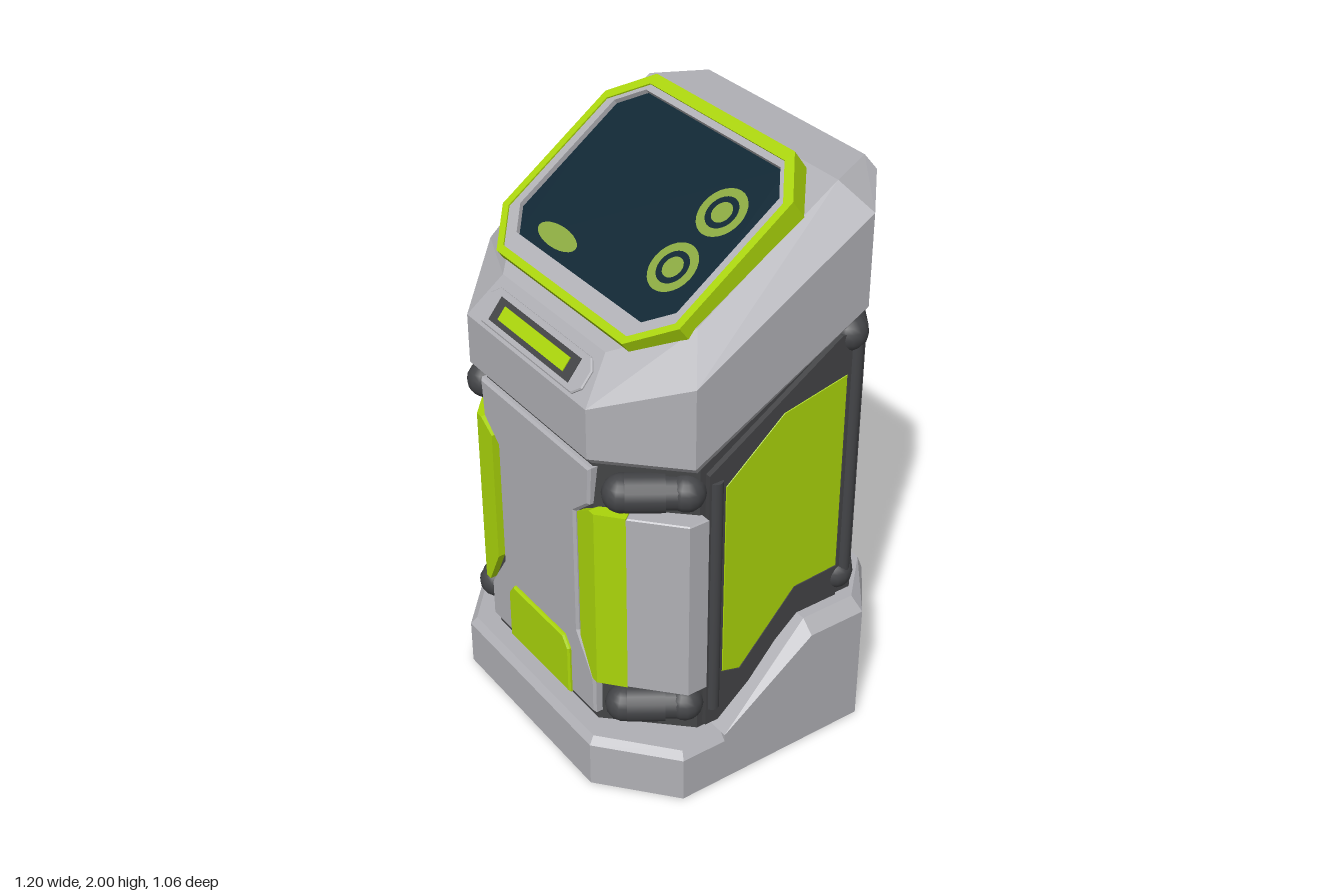
import * as THREE from 'three';

const mat = (name, color, flat = true) => {
  const m = new THREE.MeshStandardMaterial({ color, flatShading: flat });
  m.name = name;
  return m;
};

export function createModel() {
  const grey = mat('shellGrey', 0xb0b0b5);
  const green = mat('limeGreen', 0xaad40a);
  const dark = mat('frameDark', 0x434446);
  const joint = mat('jointDark', 0x444548, false);
  const glass = mat('screenGlass', 0x0e2633);
  const olive = mat('displayOlive', 0x8aa840);

  const root = new THREE.Group();
  const add = (name, geo, material, parent = root) => {
    const mesh = new THREE.Mesh(geo, material);
    mesh.name = name;
    parent.add(mesh);
    return mesh;
  };

  // Closed loft: each ring is a front-to-back list of stations [xLeft, xRight, y, z]
  const loft = (rings) => {
    const pos = [];
    const quad = (a, b, c, d) => pos.push(...a, ...b, ...c, ...a, ...c, ...d);
    const R = rings.map((r) => r.map(([, x, y, z]) => [x, y, z]));
    const L = rings.map((r) => r.map(([x, , y, z]) => [x, y, z]));
    const loops = R.map((r, i) => [...r, ...[...L[i]].reverse()]);
    for (let k = 0; k < loops.length - 1; k++) {
      const a = loops[k], b = loops[k + 1];
      a.forEach((p, i) => {
        const j = (i + 1) % a.length;
        quad(p, a[j], b[j], b[i]);
      });
    }
    const t = rings.length - 1;
    for (let i = 0; i < R[0].length - 1; i++) {
      quad(R[t][i], R[t][i + 1], L[t][i + 1], L[t][i]);
      quad(L[0][i], L[0][i + 1], R[0][i + 1], R[0][i]);
    }
    const g = new THREE.BufferGeometry();
    g.setAttribute('position', new THREE.Float32BufferAttribute(pos, 3));
    g.computeVertexNormals();
    return g;
  };
  const sym = (pts) => pts.map(([x, y, z]) => [-x, x, y, z]);

  const shapeOf = (pts) => new THREE.Shape(pts.map(([x, y]) => new THREE.Vector2(x, y)));
  const extrude = (shape, depth, bevel = 0) => {
    const g = new THREE.ExtrudeGeometry(shape, {
      depth: depth - 2 * bevel, bevelEnabled: bevel > 0, bevelSize: bevel,
      bevelThickness: bevel, bevelOffset: -bevel, bevelSegments: 1,
    });
    return g.translate(0, 0, bevel);
  };
  // Vertical prism from plan points [x, z]
  const prism = (pts, s, y0, y1, bevel = 0.012) =>
    extrude(shapeOf(pts.map(([x, z]) => [s * x, -z])), y1 - y0, bevel).rotateX(-Math.PI / 2).translate(0, y0, 0);
  // Plate on a side wall from points [z, y], spanning x0..x1
  const sidePlate = (shape, s, x0, x1, bevel = 0) =>
    extrude(shape, x1 - x0, bevel).rotateY(Math.PI / 2).translate(s > 0 ? x0 : -x1, 0, 0);
  const zy = (pts) => pts.map(([z, y]) => [-z, y]);
  // Symmetric octagon with separate top and bottom edges
  const oct = (x, lo, hi, c) => [[x, lo + c], [x, hi - c], [x - c, hi], [c - x, hi], [-x, hi - c], [-x, lo + c], [c - x, lo], [x - c, lo]];

  // Rod between two points
  const rod = (name, a, b, r, material) => {
    const va = new THREE.Vector3(...a), vb = new THREE.Vector3(...b);
    const m = add(name, new THREE.CylinderGeometry(r, r, va.distanceTo(vb), 14), material);
    m.position.copy(va).add(vb).multiplyScalar(0.5);
    m.quaternion.setFromUnitVectors(new THREE.Vector3(0, 1, 0), vb.sub(va).normalize());
  };
  const knuckle = (a, b) => {
    rod('jointBar', a, b, 0.053, joint);
    const at = (t) => a.map((v, i) => v + (b[i] - v) * t);
    rod('jointCollar', at(0.05), at(0.68), 0.061, joint);
    for (const p of [a, b]) add('jointBall', new THREE.SphereGeometry(0.06, 14, 10), joint).position.set(...p);
  };

  // Base slab
  const slab = (y, k) => sym([[0.37 - k / 2, y, 0.53 - k], [0.6 - k, y, 0.33 - k / 2], [0.6 - k, y, -0.38 + k / 2], [0.42 - k / 2, y, -0.53 + k]]);
  add('baseSlab', loft([slab(0, 0), slab(0.16, 0), slab(0.185, 0.02)]), grey);

  // Dark inner body
  add('body', loft([
    sym([[0.3, 0.1, 0.45], [0.52, 0.1, 0.22], [0.52, 0.1, -0.33], [0.36, 0.1, -0.43]]),
    sym([[0.3, 1.22, 0.45], [0.52, 1.22, 0.22], [0.52, 1.55, -0.33], [0.36, 1.55, -0.43]]),
  ]), dark);

  // Head shell with sloped underside and sloped top
  add('headShell', loft([
    sym([[0.31, 1.185, 0.46], [0.53, 1.185, 0.24], [0.53, 1.515, -0.34], [0.4, 1.515, -0.45]]),
    sym([[0.33, 1.22, 0.49], [0.557, 1.22, 0.265], [0.557, 1.555, -0.355], [0.42, 1.555, -0.475]]),
    sym([[0.33, 1.39, 0.49], [0.557, 1.49, 0.265], [0.557, 1.86, -0.355], [0.42, 1.91, -0.475]]),
    sym([[0.28, 1.52, 0.385], [0.475, 1.632, 0.205], [0.465, 1.945, -0.29], [0.38, 1.945, -0.46]]),
  ]), grey);

  // Slot on the head's front bevel
  const slot = new THREE.Group();
  slot.name = 'slot';
  slot.position.set(0, 1.444, 0.442);
  slot.rotation.x = -Math.atan2(0.105, 0.13);
  root.add(slot);
  add('slotSurround', extrude(shapeOf(oct(0.28, -0.06, 0.06, 0.03)), 0.012, 0.004), grey, slot);
  add('slotRecess', new THREE.BoxGeometry(0.44, 0.08, 0.008), dark, slot).position.z = 0.01;
  add('slotLight', new THREE.BoxGeometry(0.36, 0.046, 0.008), green, slot).position.z = 0.013;

  // Tilted display
  const display = new THREE.Group();
  display.name = 'display';
  display.position.set(0, 1.785, 0.07);
  display.rotation.x = -0.949;
  root.add(display);
  const ring = (outer, inner) => {
    const s = shapeOf(outer);
    s.holes.push(new THREE.Path(inner.map(([x, y]) => new THREE.Vector2(x, y))));
    return s;
  };
  const rimIn = oct(0.443, -0.342, 0.332, 0.11), lipIn = oct(0.414, -0.285, 0.31, 0.08);
  add('displayRim', extrude(ring(oct(0.47, -0.368, 0.37, 0.13), rimIn), 0.1), green, display).position.z = -0.1;
  add('displayLip', extrude(ring(rimIn, lipIn), 0.085), grey, display).position.z = -0.09;
  add('screen', extrude(shapeOf(oct(0.43, -0.31, 0.32, 0.09)), 0.04), glass, display).position.z = -0.062;
  for (const v of [0.112, -0.1]) {
    add('dialRing', new THREE.RingGeometry(0.056, 0.085, 28), olive, display).position.set(0.265, v, -0.019);
    add('dialDot', new THREE.CircleGeometry(0.036, 20), olive, display).position.set(0.265, v, -0.019);
  }
  const bar = add('statusBar', new THREE.CircleGeometry(0.1, 24), olive, display);
  bar.scale.y = 0.36;
  bar.position.set(-0.195, -0.222, -0.019);

  // Front panel with a narrow waist, and its lower plate
  const half = [[0.31, 0.22], [0.31, 0.36], [0.22, 0.5], [0.22, 0.96], [0.3, 1.03], [0.31, 1.165]];
  const waist = [...half, ...half.map(([x, y]) => [-x, y]).reverse()];
  add('frontPanel', extrude(shapeOf(waist), 0.05, 0.008), grey).position.z = 0.42;
  const plate = (h0, h1) => shapeOf([[-0.18, h0], [0.18, h0], [0.18, h1 - 0.04], [0.15, h1], [-0.15, h1], [-0.18, h1 - 0.04]]);
  add('frontPlate', extrude(plate(0.22, 0.44), 0.04, 0.006), green).position.z = 0.442;

  // Back panel and its lower plate
  add('backPanel', extrude(shapeOf([[-0.2, 0.17], [0.2, 0.17], [0.2, 1.12], [0.17, 1.15], [-0.17, 1.15], [-0.2, 1.12]]), 0.04), grey).position.z = -0.445;
  add('backPlate', extrude(plate(0.19, 0.46), 0.04, 0.008), green).position.z = -0.462;

  // Side walls, corners and joints, both sides
  const frameOuter = zy([[0.2, 0.2], [0.12, 0.2], [-0.14, 0.5], [-0.37, 0.5], [-0.37, 1.47], [-0.28, 1.47], [0.2, 1.16]]);
  const panel = zy([[0.14, 0.39], [0.07, 0.37], [-0.14, 0.6], [-0.31, 0.61], [-0.31, 1.33], [-0.07, 1.28], [0.14, 1.1]]);
  const cornerFace = [[0.335, 0.37], [0.335, 1.02], [0.31, 1.02], [0.247, 0.98], [0.247, 0.5], [0.31, 0.37]];
  for (const s of [1, -1]) {
    const wing = (y, k, low) => [
      [0.33, 0.6 - k, low ? y : 0.185, 0.17],
      [0.33, 0.6 - k, y, -0.17],
      [0.33, 0.6 - k, y, -0.38 + k / 4],
      [0.33, 0.42 - k / 4, y, -0.53 + k / 4],
    ].map(([a, b, h, z]) => (s > 0 ? [a, b, h, z] : [-b, -a, h, z]));
    add('baseWing', loft([wing(0.14, 0, true), wing(0.43, 0), wing(0.472, 0.045)]), grey);

    add('sideFrame', sidePlate(ring(frameOuter, panel), s, 0.5, 0.538), dark);
    add('sidePanel', sidePlate(shapeOf(panel), s, 0.5, 0.538, 0.004), green);

    add('frontCornerFace', extrude(shapeOf(cornerFace.map(([x, y]) => [s * x, y])), 0.055), green).position.z = 0.42;
    add('frontCornerChamfer', prism([[0.33, 0.42], [0.335, 0.475], [0.41, 0.41], [0.37, 0.36]], s, 0.37, 1.02, 0), green);
    add('frontCornerOuter', prism([[0.41, 0.41], [0.553, 0.28], [0.553, 0.21], [0.5, 0.21], [0.37, 0.36]], s, 0.37, 1.02, 0.004), grey);
    add('backCornerUpper', prism([[0.51, -0.34], [0.535, -0.37], [0.42, -0.465], [0.35, -0.46], [0.35, -0.42]], s, 1.0, 1.39), green);
    add('backCornerLower', prism([[0.51, -0.34], [0.535, -0.37], [0.42, -0.472], [0.27, -0.472], [0.25, -0.42]], s, 0.6, 0.995), green);

    rod('frontSideRod', [s * 0.528, 0.26, 0.17], [s * 0.528, 1.13, 0.17], 0.024, joint);
    rod('backSideRod', [s * 0.528, 0.56, -0.343], [s * 0.528, 1.45, -0.343], 0.024, joint);
    rod('backRod', [s * 0.31, 0.56, -0.44], [s * 0.31, 1.45, -0.44], 0.028, joint);
    for (const y of [0.29, 1.1]) knuckle([s * 0.385, y, 0.408], [s * 0.492, y, 0.25]);
    for (const y of [0.56, 1.45]) knuckle([s * 0.5, y, -0.335], [s * 0.315, y, -0.46]);
  }
  return root;
}
